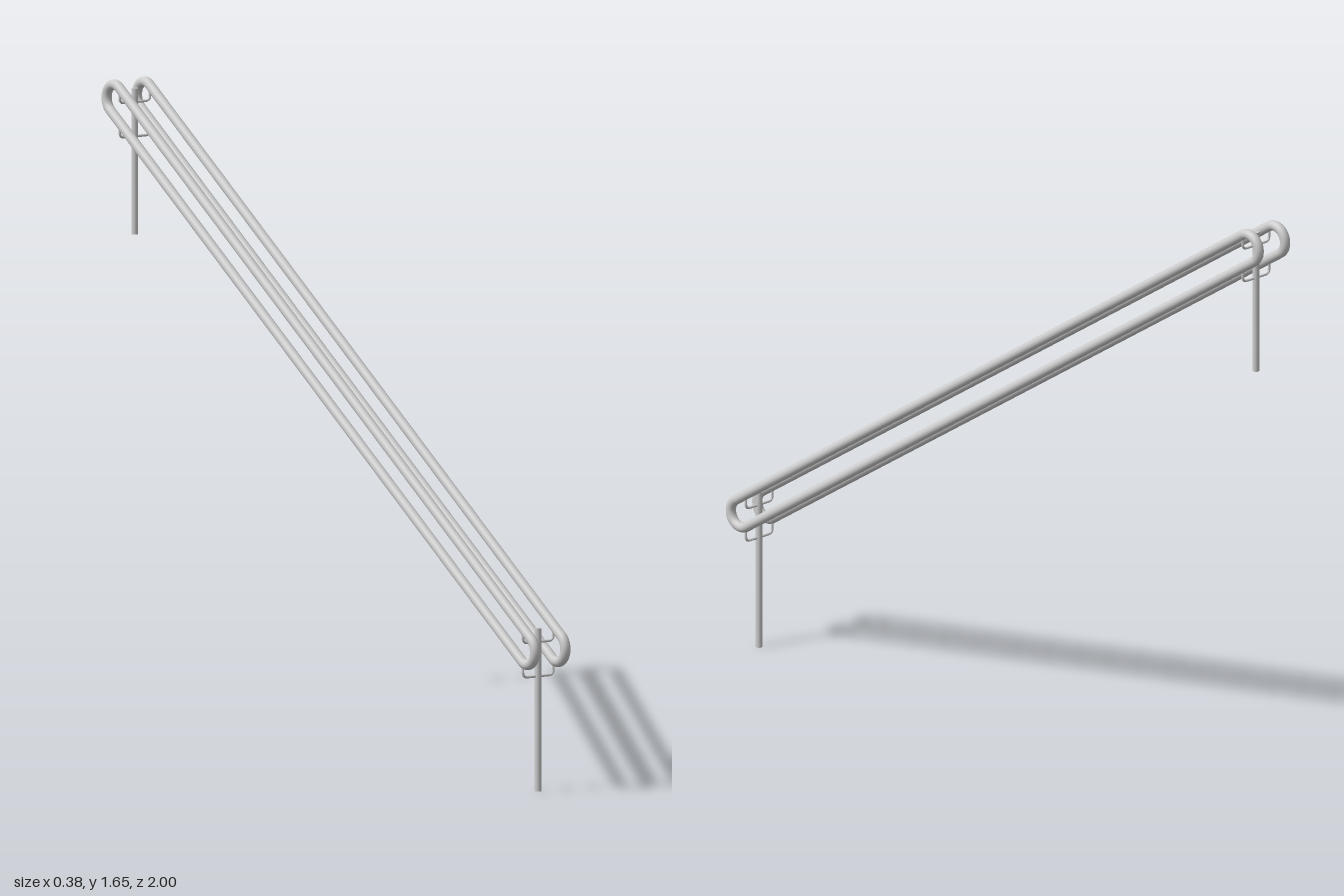
import * as THREE from 'three';

const material = new THREE.MeshStandardMaterial({ color: 0xcccccc });
const RUN = 0.95;                        // horizontal half length between loop ends
const SLOPE = 0.645, PITCH = Math.atan(SLOPE);
const MID_Y = 0.99, GAP = 0.048;         // rail height at centre, half spacing
const LOOP_R = 0.038, TUBE_R = 0.0135;

function add(parent, geometry, name, x = 0, y = 0, z = 0) {
  const mesh = new THREE.Mesh(geometry, material);
  mesh.name = name;
  mesh.position.set(x, y, z);
  parent.add(mesh);
  return mesh;
}

// One closed handrail loop: two straight tubes joined by half rings
function makeRail(name) {
  const rail = new THREE.Group();
  rail.name = name;
  const half = RUN / Math.cos(PITCH);
  for (const s of [1, -1]) {
    const tube = new THREE.CylinderGeometry(TUBE_R, TUBE_R, half * 2, 20, 1, true).rotateZ(Math.PI / 2);
    add(rail, tube, s > 0 ? 'upperTube' : 'lowerTube', 0, s * LOOP_R);
    const bend = new THREE.TorusGeometry(LOOP_R, TUBE_R, 20, 24, Math.PI).rotateZ(-s * Math.PI / 2);
    add(rail, bend, s > 0 ? 'lowerEndBend' : 'upperEndBend', s * half);
  }
  rail.rotation.set(0, -Math.PI / 2, -PITCH);
  return rail;
}

// U-shaped rod reaching from the post to the underside of both rails
function bracketGeometry() {
  const drop = 0.04, r = 0.014;
  const path = new THREE.CurvePath();
  const v = (x, y) => new THREE.Vector3(x, y, 0);
  path.add(new THREE.LineCurve3(v(-GAP, 0), v(-GAP, r - drop)));
  path.add(new THREE.QuadraticBezierCurve3(v(-GAP, r - drop), v(-GAP, -drop), v(r - GAP, -drop)));
  path.add(new THREE.LineCurve3(v(r - GAP, -drop), v(GAP - r, -drop)));
  path.add(new THREE.QuadraticBezierCurve3(v(GAP - r, -drop), v(GAP, -drop), v(GAP, r - drop)));
  path.add(new THREE.LineCurve3(v(GAP, r - drop), v(GAP, 0)));
  return new THREE.TubeGeometry(path, 48, 0.0035, 8, false);
}

export function createModel() {
  const model = new THREE.Group();
  model.name = 'doubleHandrail';

  // Pair of parallel rails
  for (const s of [1, -1]) {
    const rail = makeRail(s > 0 ? 'leftRail' : 'rightRail');
    rail.position.set(s * GAP, MID_Y, 0);
    model.add(rail);
  }

  // Posts at both ends, each carrying an upper and a lower bracket
  const offset = LOOP_R / Math.cos(PITCH);
  const posts = [['front', 0.932, 0, 0.43], ['back', -0.928, 1.245, 1.63]];
  for (const [end, z, bottom, top] of posts) {
    const post = new THREE.CylinderGeometry(0.009, 0.009, top - bottom, 20);
    add(model, post, end + 'Post', 0, (top + bottom) / 2, z);
    const y = MID_Y - SLOPE * z;
    add(model, bracketGeometry(), end + 'UpperBracket', 0, y + offset, z);
    add(model, bracketGeometry(), end + 'LowerBracket', 0, y - offset, z);
  }

  // The whole railing runs slightly diagonally
  model.rotation.y = -Math.atan(0.1295);
  const root = new THREE.Group();
  root.name = 'railing';
  root.add(model);
  return root;
}
